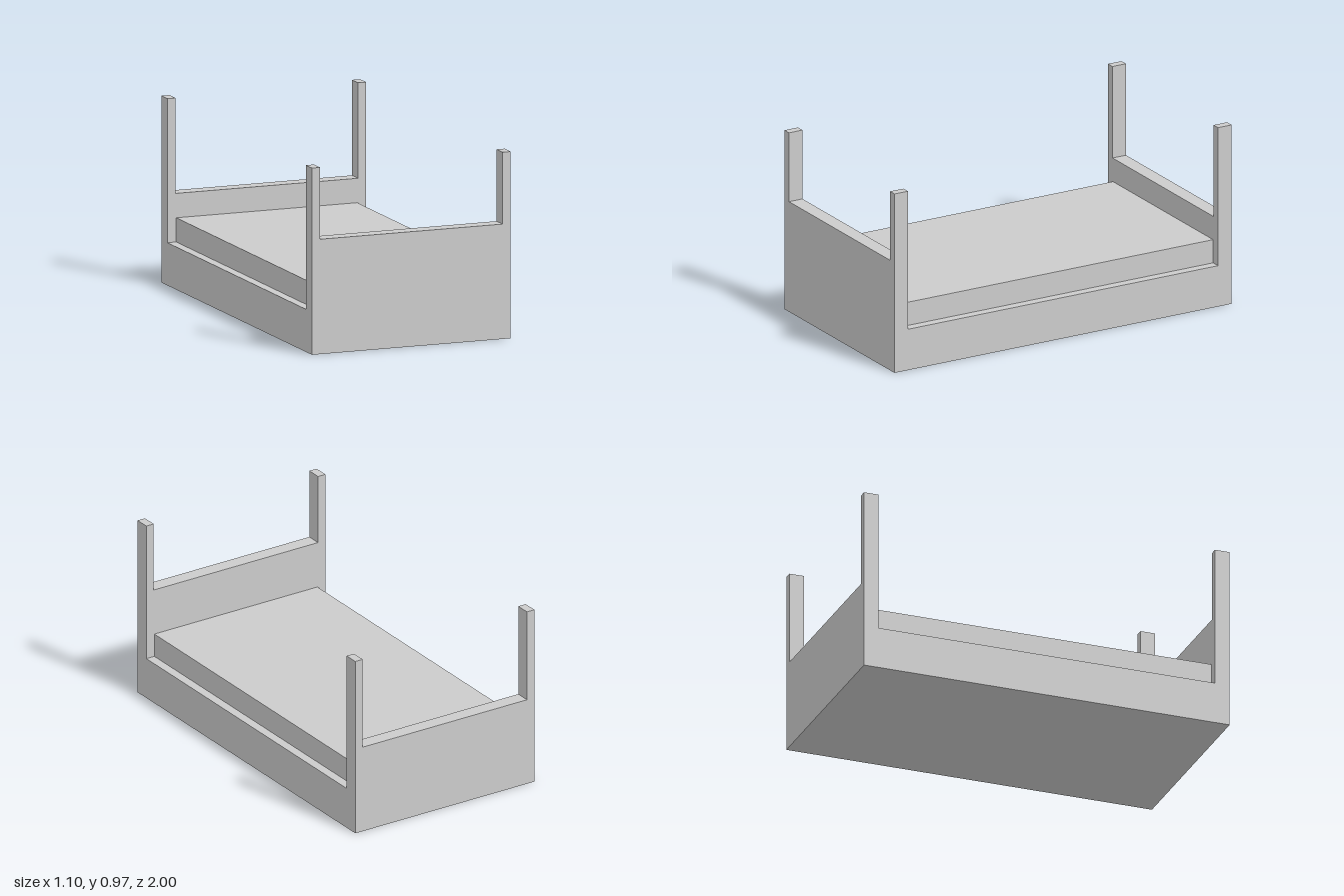
import * as THREE from 'three';

const HALF_W = 0.549, HALF_L = 1, BOARD = 0.08, POST_W = 0.045, POST_H = 0.972;

export function createModel() {
  const bed = new THREE.Group();
  bed.name = 'bed';
  const material = new THREE.MeshStandardMaterial({ color: 0xcccccc, flatShading: true });

  // Solid base between the end boards
  const inner = 2 * (HALF_L - BOARD);
  const box = (name, w, h, y) => {
    const mesh = new THREE.Mesh(new THREE.BoxGeometry(w, h, inner), material);
    mesh.position.y = y + h / 2;
    mesh.name = name;
    bed.add(mesh);
  };
  box('base', 2 * HALF_W, 0.222, 0);
  box('mattress', 1, 0.126, 0.222);

  // End board and its two corner posts, cut from one U-shaped outline
  const endBoard = (name, panelTop, z) => {
    const x = HALF_W, i = HALF_W - POST_W;
    const outline = new THREE.Shape([
      [-x, 0], [x, 0], [x, POST_H], [i, POST_H],
      [i, panelTop], [-i, panelTop], [-i, POST_H], [-x, POST_H],
    ].map(([a, b]) => new THREE.Vector2(a, b)));
    const geometry = new THREE.ExtrudeGeometry(outline, { depth: BOARD, bevelEnabled: false });
    const mesh = new THREE.Mesh(geometry, material);
    mesh.position.z = z;
    mesh.name = name;
    bed.add(mesh);
  };
  endBoard('frontBoard', 0.598, HALF_L - BOARD);
  endBoard('backBoard', 0.475, -HALF_L);

  return bed;
}
